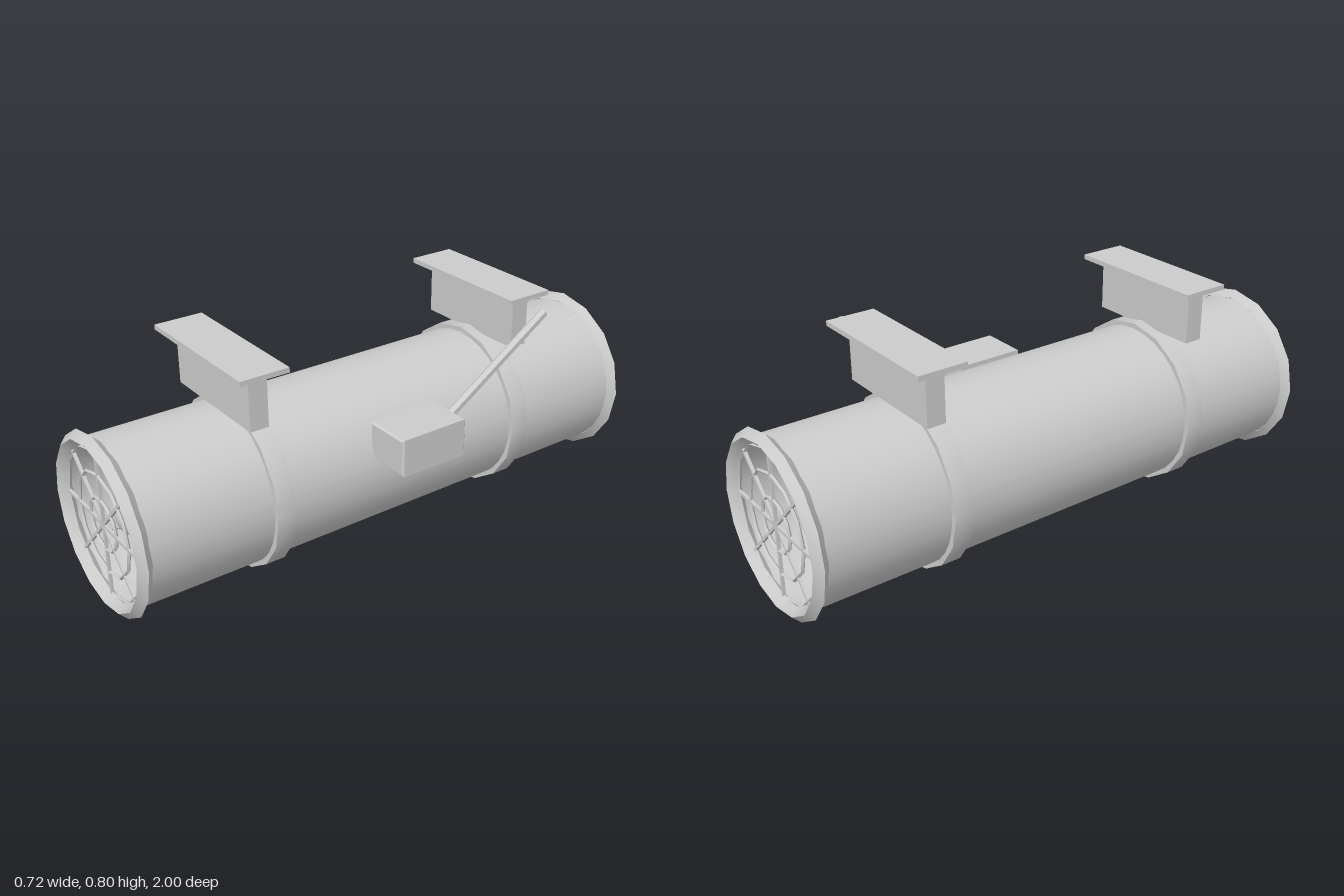
import * as THREE from 'three';
import { toCreasedNormals } from 'three/addons/utils/BufferGeometryUtils.js';

const AX = -0.055, AY = 0.31; // fan axis

export function createModel() {
  const model = new THREE.Group();
  model.name = 'tunnelFan';
  const steel = new THREE.MeshStandardMaterial({ color: 0xcccccc, side: THREE.DoubleSide });
  steel.name = 'galvanised grey';

  const add = (parent, name, geo, x = 0, y = 0, z = 0, crease = 0.5) => {
    const m = new THREE.Mesh(crease ? toCreasedNormals(geo, crease) : geo, steel);
    m.name = name;
    m.position.set(x, y, z);
    parent.add(m);
    return m;
  };

  // everything concentric with the casing lives in this group
  const body = new THREE.Group();
  body.name = 'fanBody';
  body.position.set(AX, AY, 0);
  model.add(body);

  // long casing tube
  add(body, 'casing', new THREE.CylinderGeometry(0.28, 0.28, 1.94, 32, 1, true).rotateX(Math.PI / 2));

  // grille of rings and crossing bars
  function makeGrille(z) {
    const grille = new THREE.Group();
    grille.name = 'grille';
    grille.position.z = z;
    for (const r of [0.257, 0.175, 0.09])
      add(grille, 'grilleRing', new THREE.TorusGeometry(r, 0.006, 4, 12));
    for (let i = 0; i < 4; i++)
      add(grille, 'grilleBar', new THREE.BoxGeometry(0.514, 0.01, 0.01)).rotation.z = i * Math.PI / 4;
    body.add(grille);
  }

  for (const s of [1, -1]) {
    // flared end rim, grille and inner bulkhead
    add(body, 'endRim', new THREE.TorusGeometry(0.283, 0.026, 4, 16), 0, 0, s * 0.974);
    makeGrille(s * 0.97);
    add(body, 'bulkhead', new THREE.CircleGeometry(0.279, 32), 0, 0, s * 0.79).rotation.y = s > 0 ? 0 : Math.PI;

    // clamp band around the casing
    const profile = [[0.275, -0.035], [0.3, -0.035], [0.3, 0.035], [0.275, 0.035], [0.275, -0.035]]
      .map(([r, h]) => new THREE.Vector2(r, h));
    add(body, 'clampBand', new THREE.LatheGeometry(profile, 16).rotateX(Math.PI / 2), 0, 0, s * 0.49);

    // ceiling bracket: web and top plate
    add(model, 'bracketWeb', new THREE.BoxGeometry(0.44, 0.188, 0.066), AX, 0.689, s * 0.53);
    add(model, 'bracketPlate', new THREE.BoxGeometry(0.53, 0.017, 0.172), AX, 0.788, s * 0.53);
  }

  // fan: round hub and six pitched blades
  const fan = new THREE.Group();
  fan.name = 'fan';
  fan.position.z = 0.85;
  body.add(fan);
  add(fan, 'hub', new THREE.SphereGeometry(0.077, 24, 16), 0, 0, 0, 0);
  for (let i = 0; i < 6; i++) {
    const arm = new THREE.Group();
    arm.name = 'bladeArm';
    arm.rotation.z = i * Math.PI / 3;
    const blade = add(arm, 'blade', new THREE.BoxGeometry(0.09, 0.225, 0.01), 0, 0.155, 0);
    blade.rotation.y = 0.48;
    fan.add(arm);
  }

  // terminal box with chamfered edges
  const c = 0.007, w = 0.085 - c, h = 0.066 - c;
  const face = new THREE.Shape([[-w, -h], [w, -h], [w, h], [-w, h]].map(([x, y]) => new THREE.Vector2(x, y)));
  const box = new THREE.ExtrudeGeometry(face, {
    depth: 0.26 - 2 * c, bevelEnabled: true, bevelThickness: c, bevelSize: c, bevelSegments: 1,
  });
  box.translate(0, 0, -0.13 + c);
  add(model, 'terminalBox', box, 0.275, 0.444, 0);

  // slanted conduit rising from the box
  const a = new THREE.Vector3(0.275, 0.485, -0.125), b = new THREE.Vector3(0.275, 0.756, -0.533);
  const dir = b.clone().sub(a);
  const conduit = add(model, 'conduit', new THREE.CylinderGeometry(0.0165, 0.0165, dir.length(), 6));
  conduit.position.copy(a).add(b).multiplyScalar(0.5);
  conduit.quaternion.setFromUnitVectors(new THREE.Vector3(0, 1, 0), dir.normalize());

  return model;
}
